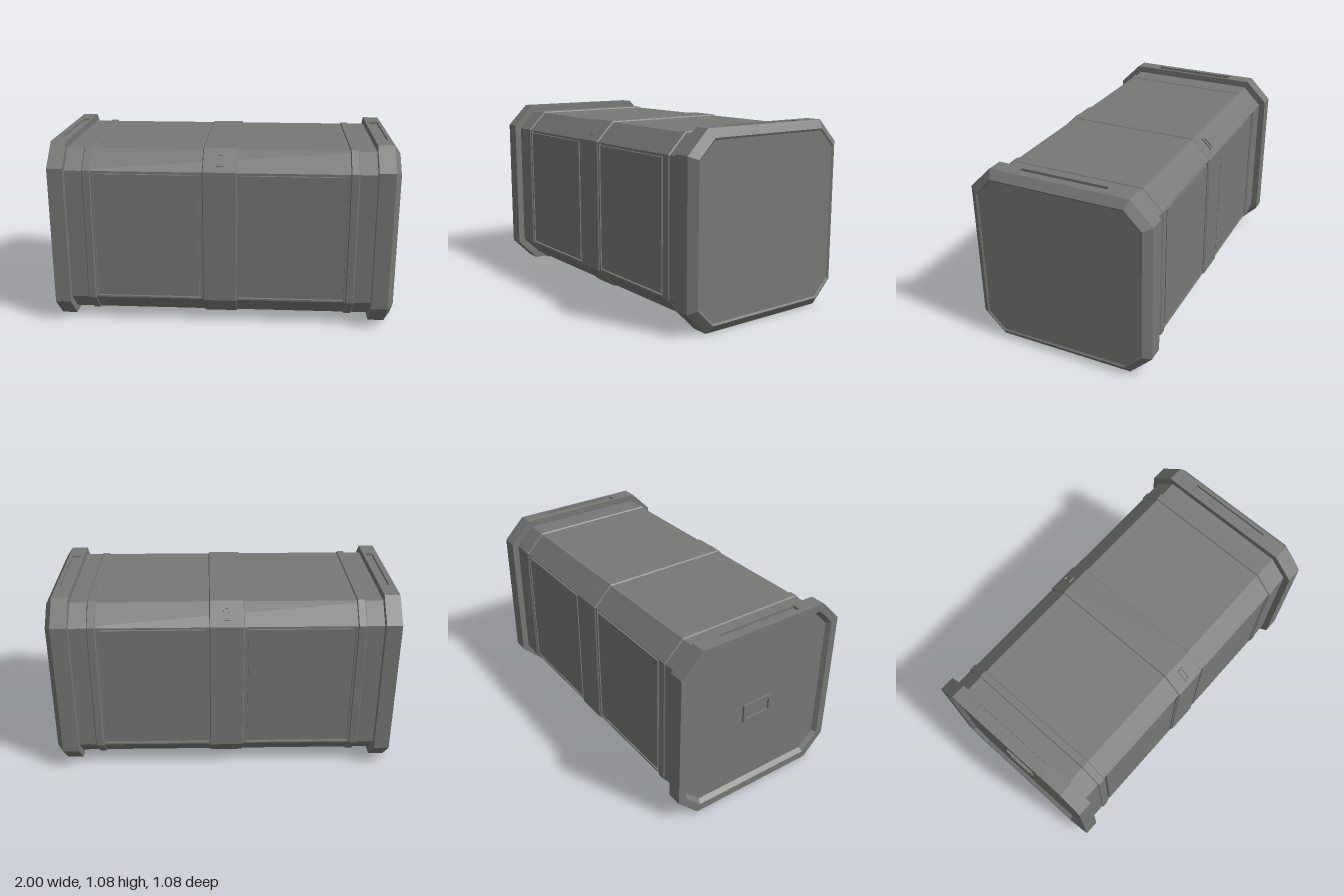
import * as THREE from 'three';

const MID = 0.54; // height of the long axis
const grey = new THREE.MeshStandardMaterial({ color: 0x787876 });
grey.name = 'grey metal';

// Chamfered square (y, z), counter-clockwise seen from +x
const octagon = (a, c) => [[a, -c], [a, c], [c, a], [-c, a], [-a, c], [-a, -c], [-c, -a], [c, -a]];

// Skin through chamfered squares; rings are [x, inset]
function loft(a, c, rings) {
  const loops = rings.map(([x, i]) => octagon(a - i, c - i * 0.414).map(([y, z]) => [x, y + MID, z]));
  const pos = [];
  const tri = (...pts) => pts.forEach((p) => pos.push(...p));
  for (let r = 0; r + 1 < loops.length; r++) {
    for (let i = 0; i < 8; i++) {
      const j = (i + 1) % 8, lo = loops[r], hi = loops[r + 1];
      tri(lo[i], lo[j], hi[j]);
      tri(lo[i], hi[j], hi[i]);
    }
  }
  const first = loops[0], last = loops[loops.length - 1];
  for (let i = 1; i < 7; i++) {
    tri(first[0], first[i + 1], first[i]);
    tri(last[0], last[i], last[i + 1]);
  }
  const g = new THREE.BufferGeometry();
  g.setAttribute('position', new THREE.Float32BufferAttribute(pos, 3));
  g.computeVertexNormals();
  return g;
}

const rect = (Type, x0, y0, x1, y1) =>
  new Type([[x0, y0], [x1, y0], [x1, y1], [x0, y1]].map((p) => new THREE.Vector2(...p)));

// Flat plate with rectangular holes
function plate(outer, holes, depth) {
  const s = rect(THREE.Shape, ...outer);
  s.holes = holes.map((h) => rect(THREE.Path, ...h));
  return new THREE.ExtrudeGeometry(s, { depth, bevelEnabled: false });
}

// Symmetric (z, y) profile pulled along x
function prism(points, x0, x1) {
  const s = new THREE.Shape(points.map(([z, y]) => new THREE.Vector2(z, y)));
  return new THREE.ExtrudeGeometry(s, { depth: x1 - x0, bevelEnabled: false })
    .rotateY(Math.PI / 2).translate(x0, MID, 0);
}

export function createModel() {
  const model = new THREE.Group();
  const add = (name, geometry, parent = model) => {
    const m = new THREE.Mesh(geometry, grey);
    m.name = name;
    parent.add(m);
    return m;
  };

  // Body core, sides sunk to form the groove floor
  const D = 0.015;
  add('body', prism([
    [0.39, 0.5], [0.5, 0.39], [0.5 - D, 0.39], [0.5 - D, -0.39], [0.5, -0.39], [0.39, -0.5],
    [-0.39, -0.5], [-0.5, -0.39], [-0.5 + D, -0.39], [-0.5 + D, 0.39], [-0.5, 0.39], [-0.39, 0.5],
  ], -0.92, 0.88));

  // Side walls with grooved panels, front and back
  const panels = [[-0.75, 0.16, -0.13, 0.925], [0.09, 0.16, 0.71, 0.925]];
  for (const side of [1, -1]) {
    const wall = new THREE.Group();
    wall.name = side > 0 ? 'frontWall' : 'backWall';
    const z = side > 0 ? 0.5 - D : -0.5;
    add('wallFrame', plate([-0.91, 0.15, 0.87, 0.93], panels, D).translate(0, 0, z), wall);
    const g = 0.013;
    for (const [x0, y0, x1, y1] of panels) {
      add('wallPanel', plate([x0 + g, y0 + g, x1 - g, y1 - g], [], D).translate(0, 0, z), wall);
    }
    model.add(wall);
  }

  // Straps around the body
  for (const [name, x0, x1] of [['leftStrap', 0.72, 0.77], ['rightStrap', -0.81, -0.76], ['centreBand', -0.12, 0.08]]) {
    const t = -0.007;
    add(name, loft(0.5, 0.39, [[x0, 0], [x0 + 0.005, t], [x1 - 0.005, t], [x1, 0]]));
  }

  // Small latches on the upper chamfers of the centre band
  for (const side of [1, -1]) {
    const latch = add('latch', plate([-0.018, -0.042, 0.018, 0.042], [[-0.01, -0.033, 0.01, 0.033]], 0.008));
    const r = 0.449;
    latch.position.set(-0.02, MID + r, side * r);
    latch.rotation.set(-Math.PI / 4, side > 0 ? 0 : Math.PI, 0, side > 0 ? 'XYZ' : 'YXZ');
  }

  // End caps with hand slots above and below
  for (const [name, x0, x1, s0, s1] of [['rightCap', -0.972, -0.91, -0.968, -0.925], ['leftCap', 0.87, 0.965, 0.89, 0.945]]) {
    const h = 0.54, c = 0.41, n = h - D;
    add(name, prism([
      [c, n], [c, h], [h, c], [h, -c], [c, -h], [c, -n],
      [-c, -n], [-c, -h], [-h, -c], [-h, c], [-c, h], [-c, n],
    ], x0, x1));
    for (const y of [0, 2 * h - D]) {
      add(name + 'Slot', plate([x0, -c, x1, c], [[s0, -0.26, s1, 0.26]], D)
        .rotateX(-Math.PI / 2).translate(0, y, 0));
    }
  }
  // Bevelled lid on the left, recessed end on the right
  add('leftLid', loft(0.54, 0.41, [[0.965, 0], [1, 0.047], [0.994, 0.058]]));
  add('rightRim', loft(0.54, 0.41, [[-0.976, 0.066], [-1, 0.045], [-1, 0], [-0.97, 0]]));

  // Label frame on the recessed end
  add('labelFrame', plate([-0.1, -0.057, 0.1, 0.057], [[-0.08, -0.038, 0.08, 0.038]], 0.012)
    .rotateY(-Math.PI / 2).translate(-0.976, MID, 0));

  // Runners under the body
  for (const z of [0.165, -0.165]) {
    add('runner', new THREE.BoxGeometry(1.78, 0.05, 0.13).translate(-0.02, 0.026, z));
  }
  return model;
}
